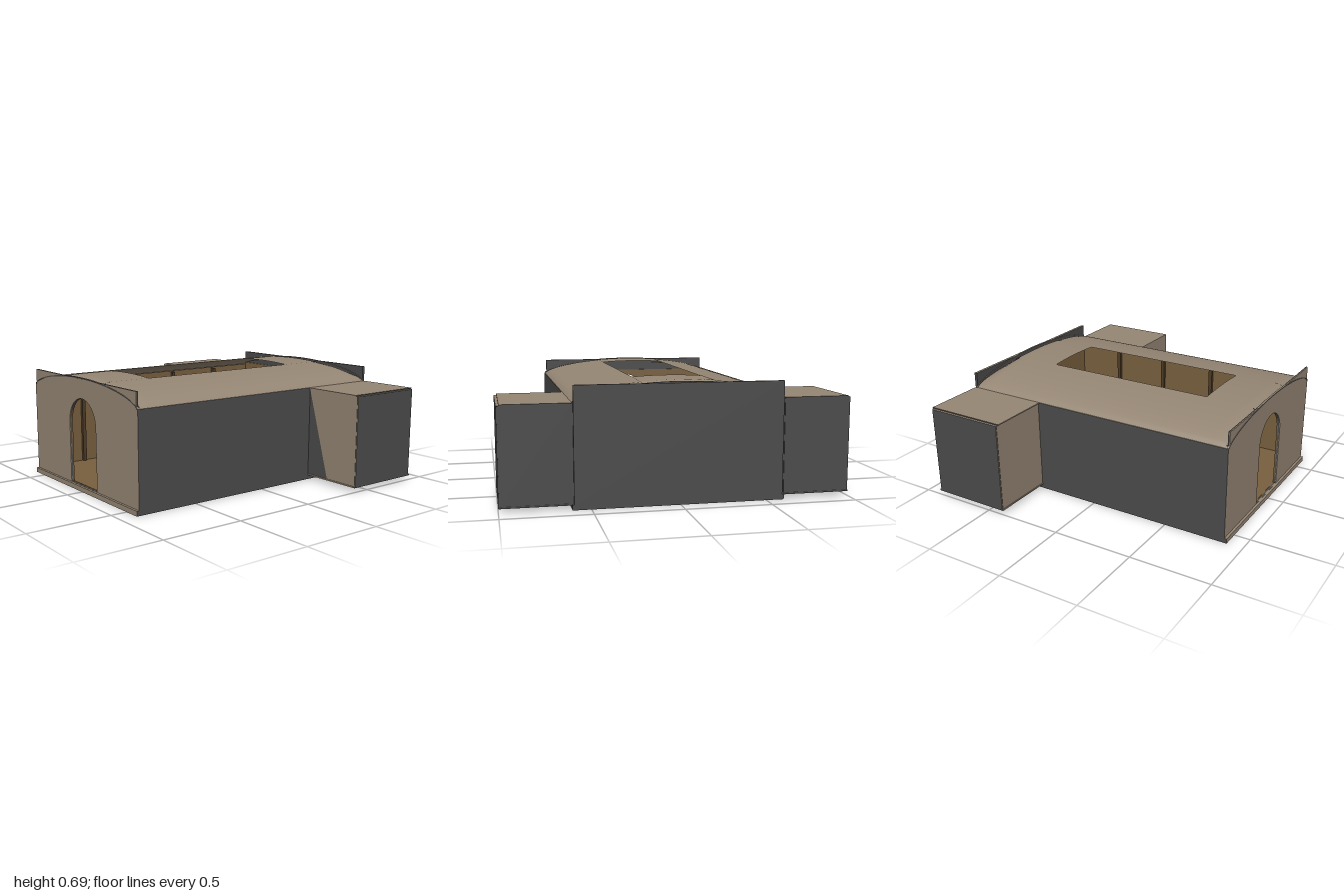
import * as THREE from 'three';

const mat = (name, color, side = THREE.FrontSide) => {
  const m = new THREE.MeshStandardMaterial({ color, side });
  m.name = name;
  return m;
};

export function createModel() {
  const model = new THREE.Group();
  model.name = 'hall';
  const tan = mat('tan stone', 0x958674, THREE.DoubleSide);
  const dark = mat('dark grey', 0x4b4b4b, THREE.DoubleSide);
  const brown = mat('interior brown', 0x785f3e, THREE.DoubleSide);
  const wood = mat('dark wood', 0x4e3c26);
  // face order: +x, -x, +y, -y, +z, -z
  const shell = [dark, dark, tan, dark, tan, dark];

  const add = (name, geo, material, parent = model) => {
    const m = new THREE.Mesh(geo, material);
    m.name = name;
    parent.add(m);
    return m;
  };
  const box = (name, x0, x1, y0, y1, z0, z1, material, parent) => {
    const g = new THREE.BoxGeometry(x1 - x0, y1 - y0, z1 - z0);
    g.translate((x0 + x1) / 2, (y0 + y1) / 2, (z0 + z1) / 2);
    return add(name, g, material, parent);
  };

  // Base slab and interior floor
  box('base', -0.605, 0.605, 0, 0.03, -0.9, 0.9, shell);
  box('interiorFloor', -0.585, 0.585, 0.03, 0.034, -0.88, 0.87, brown);
  for (const z of [-0.18, 0.2]) box('floorSeam', -0.58, 0.58, 0.034, 0.038, z - 0.004, z + 0.004, wood);

  // Long side walls
  box('leftWall', 0.585, 0.605, 0.03, 0.587, -0.885, 0.885, [dark, brown, tan, dark, tan, dark]);
  box('rightWall', -0.605, -0.585, 0.03, 0.587, -0.885, 0.885, [brown, dark, tan, dark, tan, dark]);

  // End walls
  const gable = (top) => {
    const s = new THREE.Shape();
    s.moveTo(-0.59, 0.03).lineTo(0.59, 0.03).lineTo(0.59, top).lineTo(-0.59, top).closePath();
    const door = new THREE.Path();
    door.moveTo(-0.155, 0.032).lineTo(-0.155, 0.41);
    door.absarc(0, 0.41, 0.155, Math.PI, 0, true);
    door.lineTo(0.155, 0.032).closePath();
    s.holes.push(door);
    return s;
  };
  const plate = (shape, depth, z) =>
    new THREE.ExtrudeGeometry(shape, { depth, bevelEnabled: false, curveSegments: 20 }).translate(0, 0, z);
  add('frontFace', plate(gable(0.682), 0.004, 0.881), tan);
  add('frontWall', plate(gable(0.682), 0.008, 0.873), dark);
  add('frontLining', plate(gable(0.6), 0.008, 0.865), brown);
  box('backWall', -0.595, 0.595, 0.03, 0.682, -0.9, -0.882, [dark, dark, tan, dark, dark, dark]);
  box('backLining', -0.585, 0.585, 0.03, 0.6, -0.882, -0.875, brown);

  // Arched roof with rounded ends, left open along the middle
  const arch = (x) => 0.585 + 0.105 * Math.pow(Math.max(0, 1 - (x / 0.602) ** 2), 0.6);
  const roofPanel = (name, x0, x1, z0, z1, lift) => {
    const g = new THREE.PlaneGeometry(1, 1, 24, 48);
    g.rotateX(-Math.PI / 2);
    const p = g.attributes.position;
    for (let i = 0; i < p.count; i++) {
      const x = x0 + (x1 - x0) * (p.getX(i) + 0.5);
      const z = z0 + (z1 - z0) * (p.getZ(i) + 0.5);
      const e = Math.min(1, Math.max(0, (Math.abs(z) - 0.8) / 0.075));
      const drop = 0.3 * (1 - Math.sqrt(1 - e * e));
      p.setXYZ(i, x, 0.585 + (arch(x) - 0.585) * (1 - drop) + lift, z);
    }
    g.computeVertexNormals();
    return add(name, g, tan);
  };
  roofPanel('leftRoof', 0.205, 0.602, -0.882, 0.875, 0);
  roofPanel('rightRoof', -0.602, -0.205, -0.882, 0.875, 0);
  roofPanel('frontRoofCap', -0.213, 0.213, 0.555, 0.875, 0.002);
  roofPanel('backRoofCap', -0.213, 0.213, -0.882, -0.54, 0.002);

  // Thin arch ribs on the end walls
  const rib = new THREE.Shape();
  const xs = Array.from({ length: 41 }, (_, i) => -0.6 * Math.cos((Math.PI * i) / 40));
  xs.forEach((x, i) => (i ? rib.lineTo(x, arch(x)) : rib.moveTo(x, arch(x))));
  xs.reverse().forEach((x) => rib.lineTo(x, arch(x) - 0.007));
  add('frontRib', plate(rib, 0.012, 0.875), [dark, tan]);
  add('backRib', plate(rib, 0.012, -0.89), [dark, tan]);

  // Side wings
  for (const s of [1, -1]) {
    const wing = new THREE.Group();
    wing.name = s > 0 ? 'leftWing' : 'rightWing';
    model.add(wing);
    const span = (a, b) => (s > 0 ? [a, b] : [-b, -a]);
    box('wingBody', ...span(0.605, 0.995), 0.035, 0.58, -0.89, -0.392, shell, wing);
    box('wingTop', ...span(0.605, 0.985), 0.58, 0.587, -0.895, -0.387, shell, wing);
    box('wingBottom', ...span(0.605, 1), 0.027, 0.035, -0.895, -0.387, shell, wing);
    box('wingEnd', ...span(0.99, 1), 0.035, 0.58, -0.885, -0.395, shell, wing);
  }
  const tri = new THREE.Shape();
  tri.moveTo(0.605, 0.036).lineTo(0.77, 0.036).lineTo(0.607, 0.58).closePath();
  add('wingDarkPanel', new THREE.ShapeGeometry(tri).translate(0, 0, -0.39), dark);

  // Interior pilasters, benches and leafy stands
  for (const s of [1, -1]) {
    for (const z of [-0.55, -0.18, 0.2, 0.56])
      box('pilaster', s * 0.575 - 0.01, s * 0.575 + 0.01, 0.034, 0.58, z - 0.012, z + 0.012, wood);
    box('benchSeat', s * 0.32 - 0.12, s * 0.32 + 0.12, 0.14, 0.155, 0.36, 0.48, brown);
    for (const dx of [-0.1, 0.1])
      box('benchLeg', s * 0.32 + dx - 0.01, s * 0.32 + dx + 0.01, 0.034, 0.14, 0.38, 0.46, wood);
    box('wallShelf', s * 0.53 - 0.05, s * 0.53 + 0.05, 0.26, 0.275, -0.12, 0.12, brown);
    const plant = new THREE.Group();
    plant.name = 'plantStand';
    plant.position.set(s * 0.45, 0.034, -0.3);
    model.add(plant);
    add('pot', new THREE.CylinderGeometry(0.04, 0.03, 0.07, 12).translate(0, 0.035, 0), wood, plant);
    for (let i = 0; i < 6; i++) {
      const leaf = add('stem', new THREE.ConeGeometry(0.01, 0.2, 5).translate(0, 0.1, 0), wood, plant);
      leaf.position.y = 0.06;
      leaf.rotation.set(0.35, (i * Math.PI) / 3, 0, 'YXZ');
    }
  }
  return model;
}
